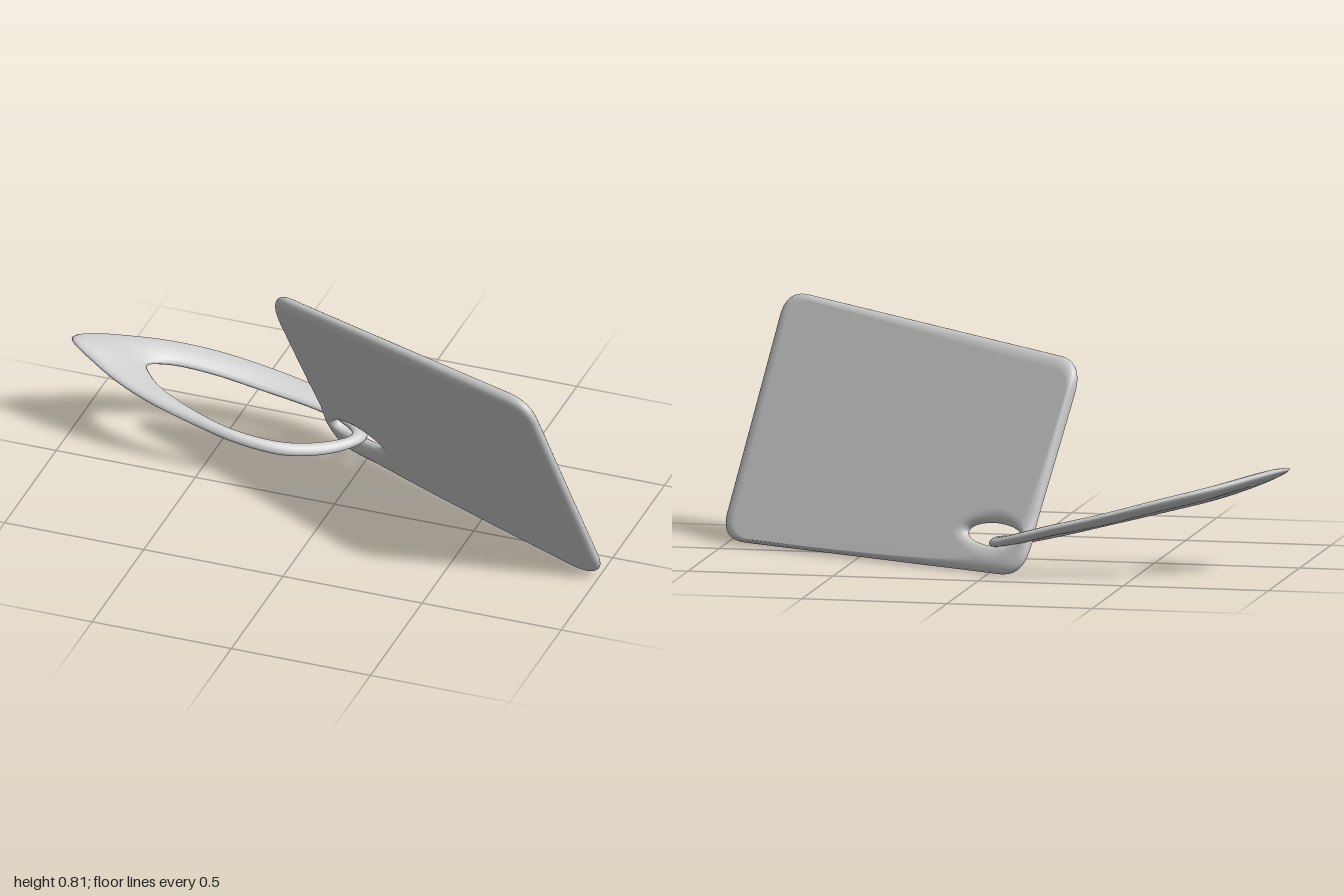
import * as THREE from 'three';

const V = (x, y, z) => new THREE.Vector3(x, y, z);
const grey = () => new THREE.MeshStandardMaterial({ color: 0xcccccc });

// Smooth surface closed in both directions, from point(i, j)
function closedSurface(nu, nv, point) {
  const pos = [], index = [];
  for (let i = 0; i < nu; i++) {
    for (let j = 0; j < nv; j++) {
      const p = point(i, j);
      pos.push(p.x, p.y, p.z);
      const i2 = (i + 1) % nu, j2 = (j + 1) % nv;
      const a = i * nv + j, b = i * nv + j2, c = i2 * nv + j, d = i2 * nv + j2;
      index.push(a, b, c, b, d, c);
    }
  }
  const g = new THREE.BufferGeometry();
  g.setAttribute('position', new THREE.Float32BufferAttribute(pos, 3));
  g.setIndex(index);
  g.computeVertexNormals();
  return g;
}

// Polygon outline with softened corners
function roundedOutline(corners, radius) {
  const shape = new THREE.Path();
  corners.forEach((c, k) => {
    const n = corners.length;
    const toward = q => c.clone().add(q.clone().sub(c).setLength(radius));
    const a = toward(corners[(k + n - 1) % n]), b = toward(corners[(k + 1) % n]);
    if (k === 0) shape.moveTo(a.x, a.y); else shape.lineTo(a.x, a.y);
    shape.quadraticCurveTo(c.x, c.y, b.x, b.y);
  });
  shape.closePath();
  return shape;
}

// Leaning tag: soft-edged plate with an oval eyelet near one corner
function makeTag() {
  const corners = [[-0.01, -0.005], [1.25, -0.005], [1.23, 0.875], [-0.04, 0.757]]
    .map(c => new THREE.Vector2(...c));
  const N = 480;
  const outline = roundedOutline(corners, 0.095).getSpacedPoints(N);
  const centre = new THREE.Vector2(0.138, 0.128), rx = 0.112, ry = 0.04;
  const half = 0.024, edge = 0.05;

  // distances from a rim, as fractions of the edge width
  const rim = [0, 0.04, 0.14, 0.3, 0.5, 0.75, 1];
  const n = rim.length, nv = 4 * n - 2;
  const geo = closedSurface(N, nv, (i, j) => {
    const out = outline[i], d = out.clone().sub(centre);
    const angle = Math.atan2(d.y / ry, d.x / rx);
    const inn = new THREE.Vector2(centre.x + rx * Math.cos(angle), centre.y + ry * Math.sin(angle));
    const len = out.distanceTo(inn), r = Math.min(edge, len * 0.48);
    // front goes hole to rim, back returns
    const front = j < 2 * n;
    const k = front ? j : nv - j;
    const q = k < n ? rim[k] : rim[2 * n - 1 - k];
    const dist = k < n ? q * r : len - q * r;
    const p = inn.lerp(out, dist / len);
    const z = half * Math.sqrt(1 - (1 - q) ** 2);
    return V(p.x, p.y, front ? z : -z);
  });

  const u = V(0.91, 0.008, 0.414).normalize();
  const normal = V(-0.386, -0.389, 0.837);
  normal.addScaledVector(u, -normal.dot(u)).normalize();
  const v = normal.clone().cross(u);
  const m = new THREE.Matrix4().makeBasis(u, v, normal).setPosition(-0.115, 0.008, -0.38);
  geo.applyMatrix4(m);
  const mesh = new THREE.Mesh(geo, grey());
  mesh.name = 'tagPlate';
  return mesh;
}

// Tilted loop through the eyelet: lens sections between an outer and an inner edge
function makeRing() {
  // outer x, y, z, inner x, y, z, half thickness
  const stations = [
    [-1.00, 0.365, -0.15, -0.745, 0.280, -0.195, 0.018],
    [-0.80, 0.322, -0.30, -0.69, 0.262, -0.255, 0.018],
    [-0.60, 0.275, -0.38, -0.55, 0.228, -0.30, 0.017],
    [-0.40, 0.222, -0.42, -0.40, 0.188, -0.325, 0.017],
    [-0.20, 0.170, -0.425, -0.20, 0.145, -0.338, 0.017],
    [-0.09, 0.135, -0.40, -0.12, 0.125, -0.335, 0.017],
    [-0.01, 0.105, -0.34, -0.055, 0.115, -0.305, 0.016],
    [0.005, 0.095, -0.28, -0.04, 0.115, -0.265, 0.015],
    [-0.06, 0.087, -0.19, -0.10, 0.115, -0.20, 0.015],
    [-0.20, 0.103, -0.085, -0.22, 0.138, -0.11, 0.015],
    [-0.35, 0.136, -0.045, -0.38, 0.175, -0.068, 0.014],
    [-0.52, 0.182, -0.04, -0.53, 0.213, -0.08, 0.014],
    [-0.75, 0.252, -0.06, -0.66, 0.247, -0.12, 0.015],
    [-0.90, 0.312, -0.10, -0.72, 0.268, -0.16, 0.016],
  ];
  const S = stations.length, per = 5, nu = S * per, nv = 16;
  const outer = new THREE.CatmullRomCurve3(stations.map(s => V(s[0], s[1], s[2])), true);
  const inner = new THREE.CatmullRomCurve3(stations.map(s => V(s[3], s[4], s[5])), true);
  const geo = closedSurface(nu, nv, (i, j) => {
    const t = i / nu, k = Math.floor(i / per), f = (i % per) / per;
    const o = outer.getPoint(t), c = inner.getPoint(t);
    const thick = stations[k][6] * (1 - f) + stations[(k + 1) % S][6] * f;
    const tangent = outer.getTangent(t).add(inner.getTangent(t));
    const across = o.clone().sub(c).multiplyScalar(0.5);
    const up = tangent.cross(across).normalize();
    const a = (j / nv) * Math.PI * 2;
    return o.add(c).multiplyScalar(0.5)
      .addScaledVector(across, Math.cos(a))
      .addScaledVector(up, Math.sin(a) * thick);
  });
  const mesh = new THREE.Mesh(geo, grey());
  mesh.name = 'ring';
  return mesh;
}

export function createModel() {
  const group = new THREE.Group();
  group.name = 'tagWithRing';
  group.add(makeTag(), makeRing());
  return group;
}
